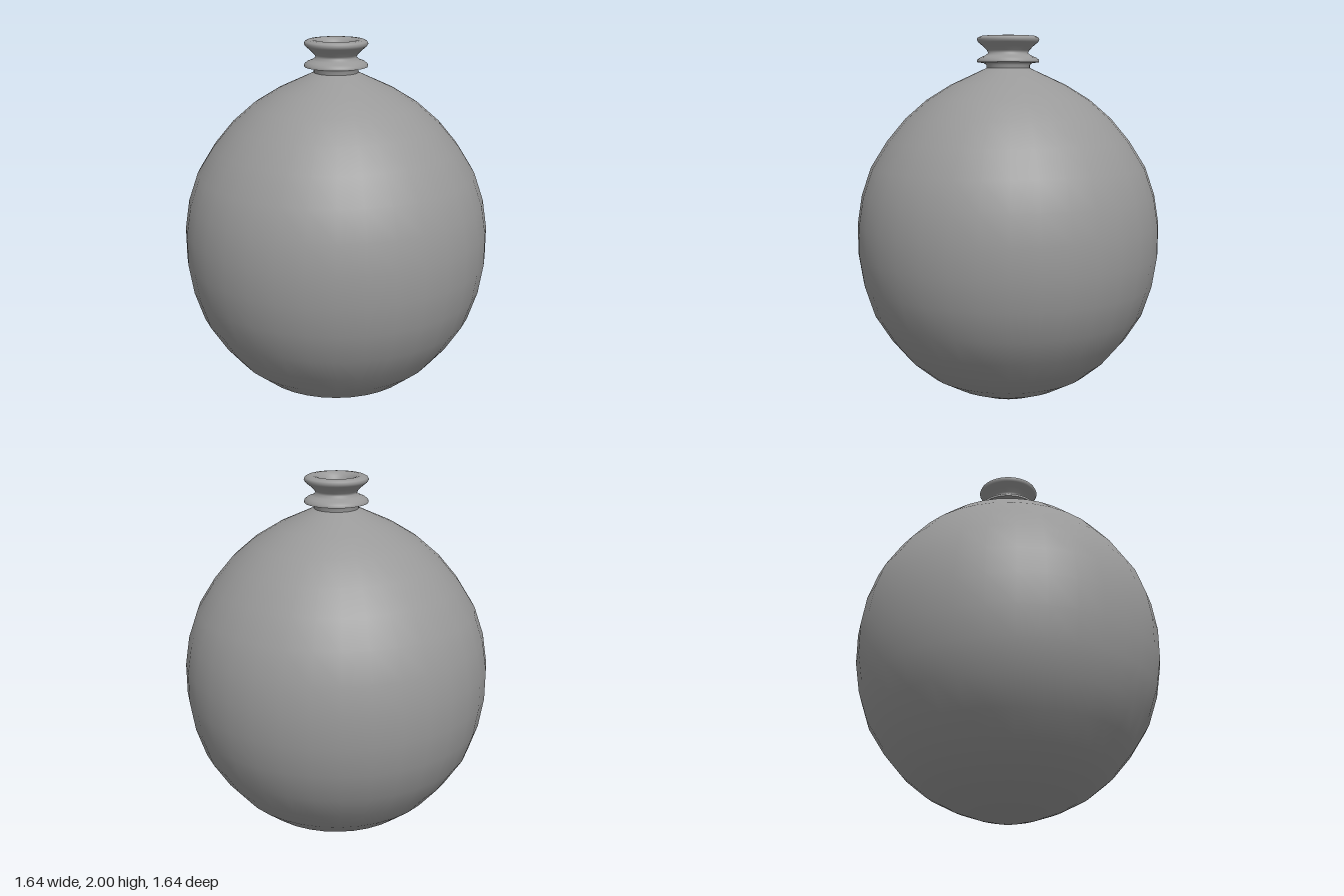
import * as THREE from 'three';

const material = new THREE.MeshStandardMaterial({ color: 0x999999, side: THREE.DoubleSide });

// Surface of revolution from [radius, height] pairs, listed bottom to top
function turned(name, profile, sides, start = 0) {
  const points = profile.map(([r, y]) => new THREE.Vector2(r, y));
  const mesh = new THREE.Mesh(new THREE.LatheGeometry(points, sides, start), material);
  mesh.name = name;
  return mesh;
}

export function createModel() {
  const model = new THREE.Group();
  model.name = 'roundFlask';

  // Round belly with a softly rounded base and sloping shoulders
  model.add(turned('body', [
    [0, 0], [0.03, 0.001], [0.09, 0.01], [0.18, 0.035], [0.31, 0.085], [0.44, 0.155],
    [0.555, 0.25], [0.655, 0.37], [0.743, 0.51], [0.795, 0.67], [0.82, 0.83], [0.82, 0.995],
    [0.795, 1.15], [0.743, 1.3], [0.655, 1.44], [0.555, 1.56], [0.44, 1.66],
    [0.31, 1.74], [0.18, 1.8], [0.115, 1.83],
  ], 34, 0.04));

  // Short neck tucked into the shoulder, up to the underside of the collar
  model.add(turned('neck', [[0.117, 1.8], [0.117, 1.845], [0.13, 1.855], [0.167, 1.86]], 64));

  // Collar, waist, flared lip and the funnel inside the mouth
  model.add(turned('lip', [
    [0.167, 1.86], [0.166, 1.873], [0.15, 1.885], [0.125, 1.895], [0.107, 1.908],
    [0.113, 1.922], [0.135, 1.945], [0.16, 1.965], [0.168, 1.978], [0.163, 1.99],
    [0.147, 1.998], [0.125, 2], [0.105, 1.995], [0.088, 1.98], [0.075, 1.957],
    [0.062, 1.93], [0.045, 1.912], [0.025, 1.903],
  ], 64));

  // Narrow bore below the funnel, closed by a flat floor
  model.add(turned('bore', [[0.025, 1.903], [0.025, 1.87]], 32));
  model.add(turned('boreFloor', [[0.025, 1.87], [0, 1.87]], 32));

  return model;
}
